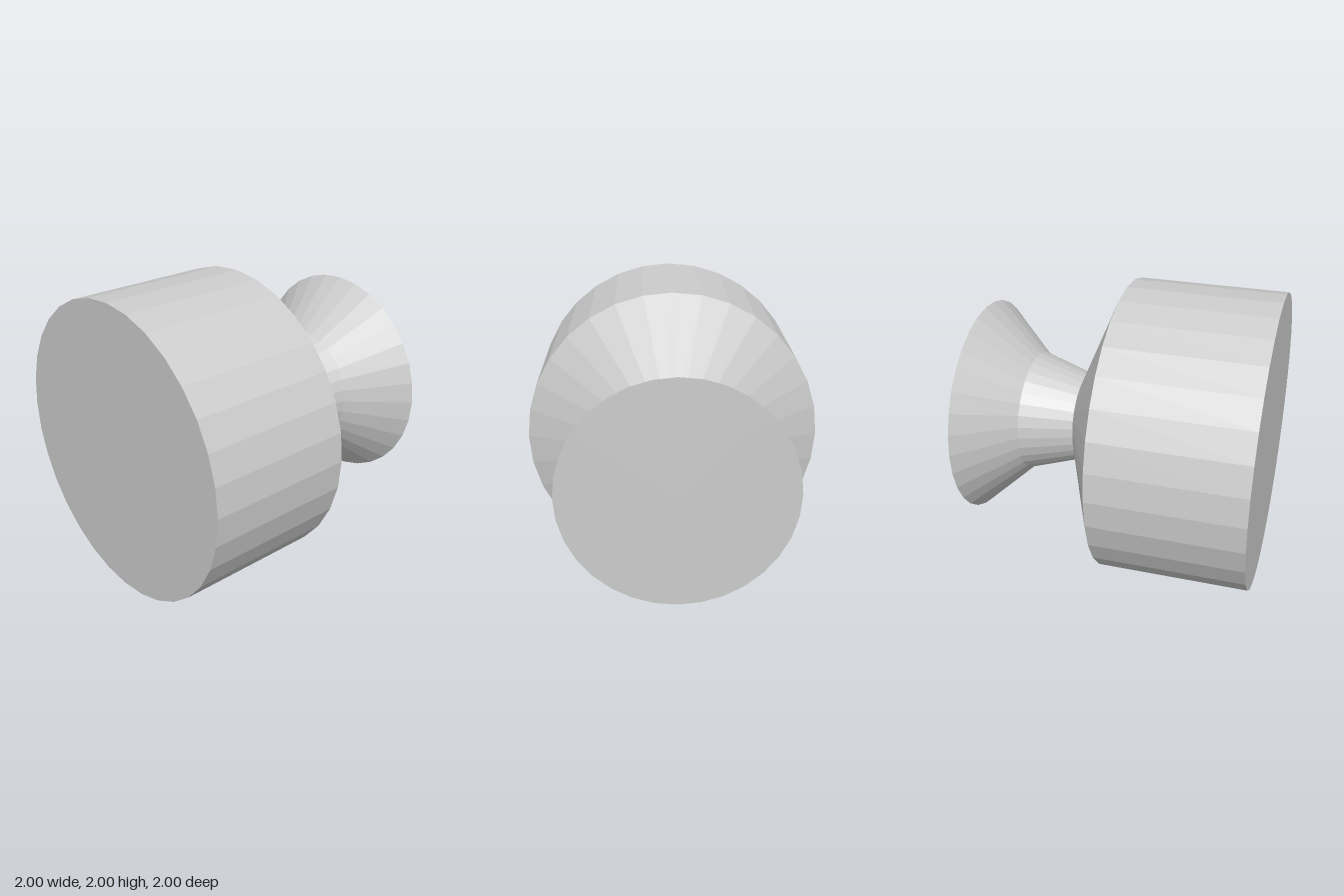
import * as THREE from 'three';

const SIDES = 32;

export function createModel() {
  const model = new THREE.Group();
  model.name = 'thruster';
  const greyMetal = new THREE.MeshStandardMaterial({ color: 0xcccccc });
  greyMetal.name = 'greyMetal';

  // Faceted frustum along z, from its front ring to its back ring
  function frustum(name, zFront, rFront, zBack, rBack, open) {
    const geometry = new THREE.CylinderGeometry(rFront, rBack, zFront - zBack, SIDES, 1, open)
      .rotateX(Math.PI / 2)
      .toNonIndexed();
    geometry.computeVertexNormals();
    const mesh = new THREE.Mesh(geometry, greyMetal);
    mesh.name = name;
    mesh.position.set(0, 1, (zFront + zBack) / 2);
    model.add(mesh);
  }

  // Flat disc closing one end; facing is 1 for front, -1 for back
  function cap(name, z, radius, facing) {
    const geometry = new THREE.CircleGeometry(radius, SIDES);
    if (facing < 0) geometry.rotateY(Math.PI);
    const mesh = new THREE.Mesh(geometry, greyMetal);
    mesh.name = name;
    mesh.position.set(0, 1, z);
    model.add(mesh);
  }

  cap('frontCap', 1, 1, 1);
  frustum('body', 1, 1, 0, 1, true);
  frustum('shoulder', 0, 1, -0.3, 0.305, true);
  frustum('neck', -0.3, 0.305, -0.65, 0.415, true);
  frustum('nozzleBell', -0.65, 0.415, -1, 0.745, true);
  cap('nozzleCap', -1, 0.745, -1);

  return model;
}
